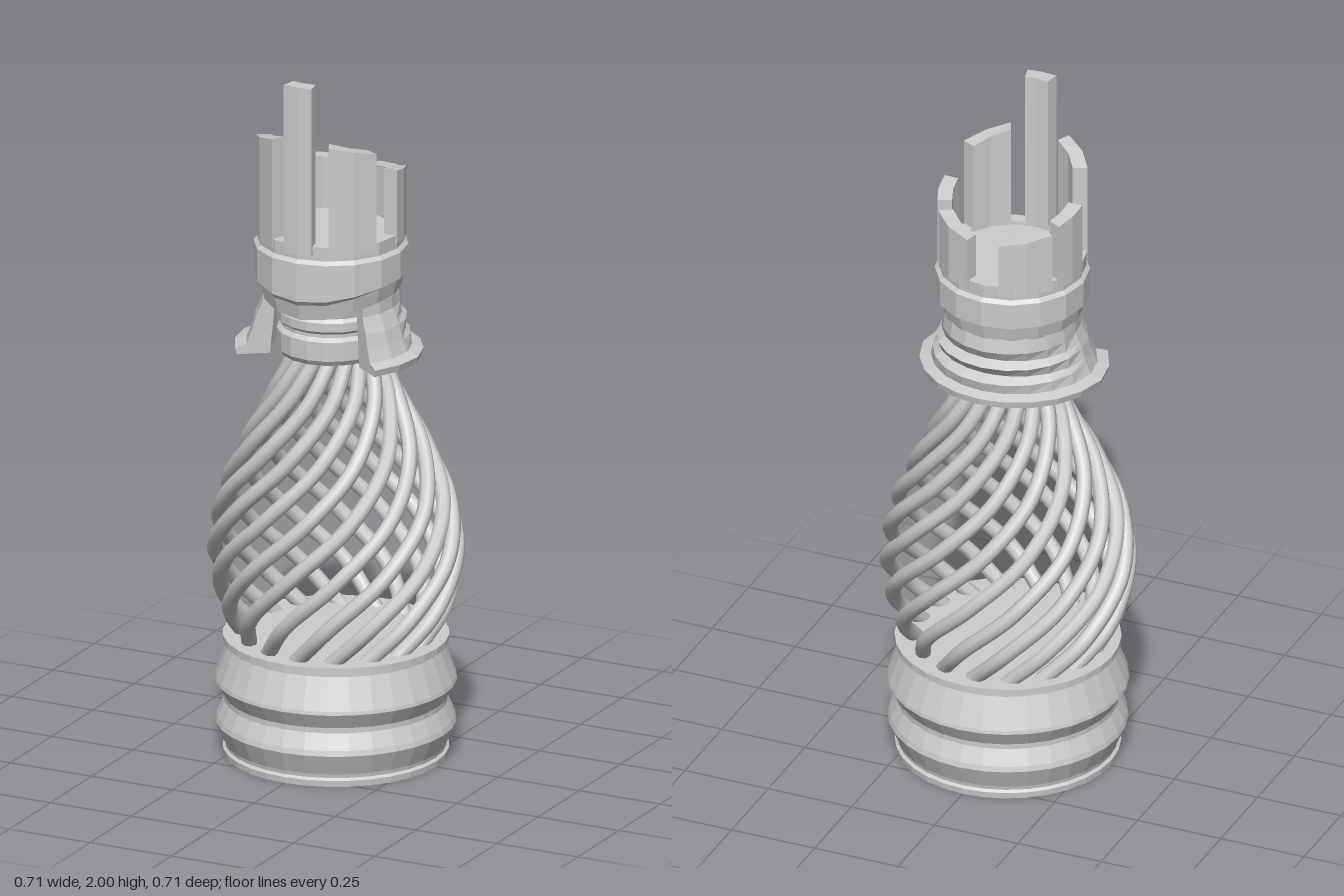
import * as THREE from 'three';

const flat = new THREE.MeshStandardMaterial({ color: 0xcccccc, flatShading: true, side: THREE.DoubleSide });
const smooth = new THREE.MeshStandardMaterial({ color: 0xcccccc });
const rad = THREE.MathUtils.degToRad;
const HEAD_Z = 0.03; // the neck and crown sit slightly forward of the cage

function add(parent, name, geometry, material = flat) {
  const mesh = new THREE.Mesh(geometry, material);
  mesh.name = name;
  parent.add(mesh);
  return mesh;
}

const lathe = (points, segments) =>
  new THREE.LatheGeometry(points.map(([r, y]) => new THREE.Vector2(r, y)), segments);

// Sweeps a closed (radius, height) section around the y axis; angle 0 is the front.
// section(angle, t) may change along the way. Ends are capped unless it is a full ring.
function sweep(a0, a1, steps, section, ring = false) {
  const pos = [], index = [];
  let n = 0;
  for (let i = 0; i <= steps; i++) {
    const t = i / steps, a = rad(a0 + (a1 - a0) * t);
    const pts = section(a, t);
    n = pts.length;
    for (const [r, y] of pts) pos.push(r * Math.sin(a), y, r * Math.cos(a));
  }
  for (let i = 0; i < steps; i++) {
    for (let j = 0; j < n; j++) {
      const k = (j + 1) % n, p = i * n, q = p + n;
      index.push(p + j, q + j, q + k, p + j, q + k, p + k);
    }
  }
  if (!ring) {
    const e = steps * n;
    for (let j = 1; j < n - 1; j++) index.push(0, j, j + 1, e, e + j + 1, e + j);
  }
  const g = new THREE.BufferGeometry();
  g.setAttribute('position', new THREE.Float32BufferAttribute(pos, 3));
  g.setIndex(index);
  const out = g.toNonIndexed();
  out.computeVertexNormals();
  return out;
}

export function createModel() {
  const model = new THREE.Group();
  model.name = 'twistedCageFinial';

  // Ribbed round base
  add(model, 'base', lathe([
    [0, 0], [0.31, 0], [0.312, 0.018], [0.304, 0.024], [0.306, 0.035], [0.332, 0.095], [0.328, 0.11],
    [0.308, 0.155], [0.308, 0.17], [0.334, 0.215], [0.332, 0.225], [0.298, 0.315], [0.298, 0.322],
    [0.312, 0.326], [0.312, 0.345], [0, 0.345],
  ], 32));

  // Cage of twisted strands
  const cage = new THREE.Group();
  cage.name = 'cage';
  model.add(cage);
  const profile = [[0.25, 0.33], [0.308, 0.45], [0.333, 0.6], [0.308, 0.75], [0.243, 0.9], [0.165, 1.05], [0.1, 1.19]];
  const path = new THREE.CatmullRomCurve3(profile.map(([r, y]) => {
    const a = rad(160) * (y - 0.33) / 0.86;
    return new THREE.Vector3(r * Math.sin(a), y, r * Math.cos(a));
  }));
  const strand = new THREE.TubeGeometry(path, 40, 0.022, 8);
  const strands = 16;
  for (let i = 0; i < strands; i++) {
    add(cage, 'strand', strand, smooth).rotation.y = (i / strands) * Math.PI * 2;
  }

  const head = new THREE.Group();
  head.name = 'head';
  head.position.z = HEAD_Z;
  model.add(head);

  // Grooved neck
  add(head, 'neck', lathe([
    [0, 1.175], [0.14, 1.175], [0.15, 1.19], [0.15, 1.245], [0.138, 1.255], [0.138, 1.265], [0.15, 1.275],
    [0.15, 1.3], [0.14, 1.31], [0.145, 1.33], [0.16, 1.4], [0, 1.4],
  ], 18));

  // Flared skirt, open at the front, with creases and a lip
  add(head, 'skirt', sweep(54, 306, 14, (a) => {
    const back = Math.max(0, -Math.cos(a));
    const fold = 0.014 * back;
    const side = 1 - back;
    return [
      [0.17, 1.175], [0.262 - 0.032 * back, 1.175], [0.268 - 0.034 * back, 1.195],
      [0.205 + 0.03 * side, 1.205], [0.2 + 0.023 * side + fold, 1.235], [0.198 + 0.02 * side - fold, 1.25],
      [0.195 + 0.015 * side + fold, 1.28], [0.193 + 0.01 * side - fold, 1.295],
      [0.19 + fold * 0.6, 1.325], [0.188, 1.38], [0.15, 1.38],
    ];
  }));

  // Collar band dipping to a point at the front
  add(head, 'collar', sweep(0, 360, 16, (a) => {
    const dip = 0.045 * Math.max(0, Math.cos(a)) ** 2;
    return [
      [0.13, 1.375 - dip], [0.192, 1.365 - dip], [0.203, 1.41 - dip], [0.214, 1.415 - dip * 0.8],
      [0.214, 1.49], [0.203, 1.5], [0.205, 1.54], [0.168, 1.54], [0.165, 1.4],
    ];
  }, true));
  add(head, 'crownFloor', new THREE.CylinderGeometry(0.172, 0.172, 0.02, 16)).position.y = 1.52;

  // Crown of upright posts: start angle, end angle, top at start, top at end
  const post = (name, a0, a1, top0, top1, steps) =>
    add(head, name, sweep(a0, a1, steps, (a, t) => {
      const top = top0 + (top1 - top0) * t;
      return [[0.166, 1.515], [0.207, 1.515], [0.207, top], [0.166, top]];
    }));
  post('tallFrontPost', -12, 12, 2, 2, 2);
  for (const s of [1, -1]) {
    const pair = (name, a0, a1, top0, top1) =>
      s > 0 ? post(name, a0, a1, top0, top1, 2) : post(name, -a1, -a0, top1, top0, 2);
    pair('frontSidePost', 25, 64, 1.83, 1.8);
    pair('sidePost', 88, 118, 1.73, 1.71);
    pair('backPost', 124, 167, 1.69, 1.67);
  }
  return model;
}
